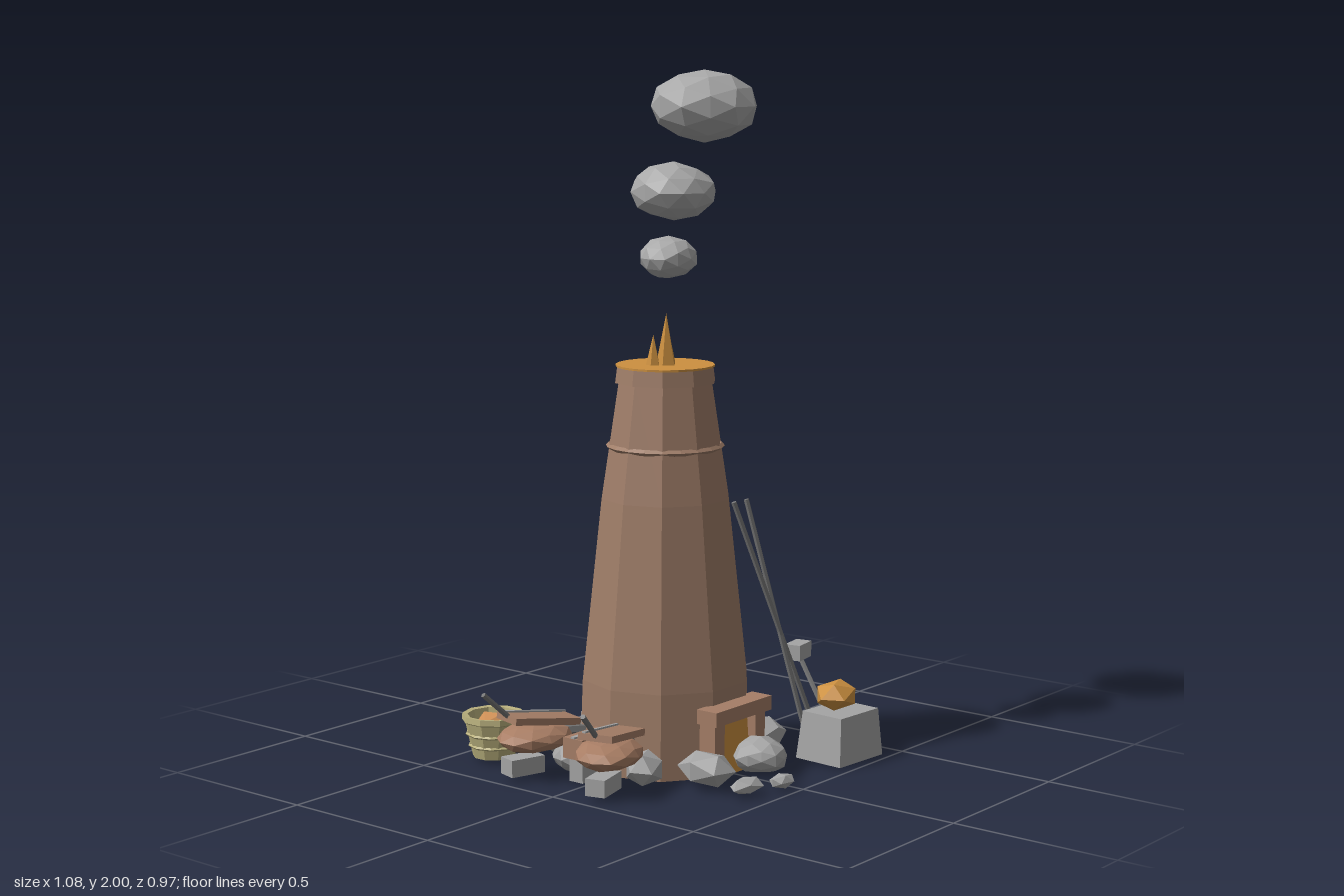
import * as THREE from 'three';

const mat = (name, color, extra = {}) => {
  const m = new THREE.MeshStandardMaterial({ color, flatShading: true, ...extra });
  m.name = name;
  return m;
};

export function createModel() {
  const clay = mat('clay', 0x9f7d68);
  const wood = mat('wood', 0xa57e67);
  const ore = mat('ore', 0xa87d64);
  const glow = mat('glow', 0xcc9040);
  const stone = mat('stone', 0xa4a4a4);
  const smokeGrey = mat('smoke', 0xa8a8a8);
  const iron = mat('iron', 0x747474);
  const straw = mat('straw', 0xbab17e, { side: THREE.DoubleSide });
  const roasted = mat('roasted ore', 0xcd8f55);

  const root = new THREE.Group();
  const add = (name, geo, material, pos = [0, 0, 0], parent = root) => {
    const m = new THREE.Mesh(geo, material);
    m.name = name;
    m.position.set(...pos);
    parent.add(m);
    return m;
  };
  const box = (name, size, pos, material, parent) =>
    add(name, new THREE.BoxGeometry(...size), material, pos, parent);

  // Faceted lump; each corner is pushed in or out by a hash of its position
  const lump = (name, pos, radii, material, { detail = 0, rough = 0.12, seed = 0, parent = root } = {}) => {
    const geo = new THREE.IcosahedronGeometry(1, detail);
    const p = geo.attributes.position;
    for (let i = 0; i < p.count; i++) {
      const v = new THREE.Vector3().fromBufferAttribute(p, i);
      const h = Math.sin(Math.round(v.x * 50) * 1.7 + Math.round(v.y * 50) * 2.3 + Math.round(v.z * 50) * 3.1 + seed * 5.3);
      v.multiplyScalar(1 + rough * h);
      p.setXYZ(i, v.x, v.y, v.z);
    }
    geo.rotateY(seed * 0.9);
    geo.scale(...radii);
    geo.computeVertexNormals();
    return add(name, geo, material, pos, parent);
  };

  // Straight rod between two points
  const rod = (name, from, to, radius, material, parent = root) => {
    const a = new THREE.Vector3(...from), b = new THREE.Vector3(...to);
    const m = add(name, new THREE.CylinderGeometry(radius, radius, a.distanceTo(b), 6), material, [0, 0, 0], parent);
    m.position.copy(a).add(b).multiplyScalar(0.5);
    m.quaternion.setFromUnitVectors(new THREE.Vector3(0, 1, 0), b.clone().sub(a).normalize());
    return m;
  };

  // Ten-sided furnace stack with band and collar
  const ring = Math.PI / 10;
  const profile = [[0, 0], [0.257, 0], [0.248, 0.25], [0.19, 0.78], [0.138, 1.12]].map(p => new THREE.Vector2(...p));
  add('furnaceStack', new THREE.LatheGeometry(profile, 10, ring), clay);
  add('stackBand', new THREE.TorusGeometry(0.163, 0.009, 4, 20).rotateX(Math.PI / 2), clay, [0, 0.93, 0]);
  add('stackCollar', new THREE.CylinderGeometry(0.143, 0.149, 0.045, 10, 1, false, ring), clay, [0, 1.137, 0]);
  add('glowingMouth', new THREE.CylinderGeometry(0.143, 0.143, 0.006, 20), glow, [0, 1.162, 0]);

  // Flames
  for (const [x, z, r, h] of [[-0.008, 0.01, 0.03, 0.15], [-0.036, -0.015, 0.022, 0.09], [0.033, -0.015, 0.024, 0.1]])
    add('flame', new THREE.ConeGeometry(r, h, 5), glow, [x, 1.162 + h / 2, z]);

  // Smoke puffs
  [[0.015, 1.47, 0, 0.085, 0.061], [0.073, 1.655, -0.028, 0.124, 0.084], [0.237, 1.895, -0.045, 0.157, 0.105]]
    .forEach(([x, y, z, r, ry], i) =>
      lump('smokePuff', [x, y, z], [r, ry, r], smokeGrey, { detail: 1, rough: 0.03, seed: i }));

  // Hearth opening
  box('hearthLintel', [0.26, 0.042, 0.07], [-0.006, 0.189, 0.26], wood);
  for (const s of [-1, 1]) box('hearthPost', [0.045, 0.17, 0.055], [-0.006 + s * 0.095, 0.085, 0.253], wood);
  const opening = new THREE.Shape([[-0.085, 0], [0.072, 0], [0.055, 0.168], [-0.067, 0.168]].map(p => new THREE.Vector2(...p)));
  add('hearthGlow', new THREE.ExtrudeGeometry(opening, { depth: 0.008, bevelEnabled: false }), glow, [0, 0, 0.25]);

  // Stones around the foot: x, z, radius x, radius z
  [[-0.14, -0.265, 0.085, 0.075], [0.05, -0.285, 0.07, 0.075], [0.22, -0.19, 0.075, 0.06],
    [-0.28, -0.1, 0.075, 0.07], [-0.27, 0.145, 0.065, 0.06], [-0.16, 0.28, 0.07, 0.09],
    [0.045, 0.315, 0.08, 0.08], [0.24, 0.175, 0.075, 0.075], [0.25, 0.01, 0.065, 0.065]]
    .forEach(([x, z, rx, rz], i) =>
      lump('footStone', [x, 0.053, z], [rx, 0.053, rz], stone, { detail: i % 3 ? 0 : 1, rough: 0.07, seed: i }));
  lump('slagStone', [-0.145, 0.022, 0.41], [0.06, 0.024, 0.04], stone, { seed: 3 });
  lump('slagStone', [-0.033, 0.02, 0.45], [0.048, 0.022, 0.032], stone, { seed: 5 });

  // Ore heap
  [[0.225, 0.037, -0.405], [0.385, 0.037, -0.405], [0.375, 0.037, -0.265], [0.225, 0.037, -0.27], [0.3, 0.065, -0.335]]
    .forEach(([x, y, z], i) =>
      lump('oreLump', [x, y, z], [0.07, 0.04, 0.068], ore, { rough: 0.1, seed: i + 1 }));

  // Basket of roasted ore
  const basket = new THREE.Group();
  basket.name = 'basket';
  basket.position.set(-0.313, 0, -0.395);
  root.add(basket);
  const wall = [[0, 0.005], [0.062, 0.005], [0.085, 0.11], [0.094, 0.115], [0.092, 0.132], [0.077, 0.13], [0.06, 0.03]];
  add('basketWall', new THREE.LatheGeometry(wall.map(p => new THREE.Vector2(...p)), 10), straw, [0, 0, 0], basket);
  for (const [y, r] of [[0.04, 0.071], [0.075, 0.079]])
    add('basketWeave', new THREE.TorusGeometry(r, 0.005, 4, 10).rotateX(Math.PI / 2), straw, [0, y, 0], basket);
  lump('basketOre', [0, 0.09, 0], [0.06, 0.05, 0.06], roasted, { seed: 2, rough: 0.06, parent: basket });

  // Stone block with a hot bloom on it
  const block = new THREE.BoxGeometry(0.2, 0.14, 0.165);
  const bp = block.attributes.position;
  for (let i = 0; i < bp.count; i++)
    if (bp.getY(i) > 0) bp.setXYZ(i, bp.getX(i) * 0.87 + 0.004, 0.07, bp.getZ(i) * 0.87);
  block.computeVertexNormals();
  add('anvilBlock', block, stone, [0.332, 0.07, 0.39]).rotation.y = -0.06;
  lump('hotBloom', [0.325, 0.184, 0.385], [0.077, 0.046, 0.063], glow, { seed: 4, rough: 0.06 });

  // Iron bars leaning on the stack
  rod('leaningBar', [0.37, 0.005, 0.297], [0.13, 0.76, 0.15], 0.008, iron);
  rod('leaningBar', [0.315, 0.005, 0.295], [0.19, 0.76, 0.15], 0.008, iron);

  // Hammer
  rod('hammerHandle', [0.452, 0.008, 0.298], [0.492, 0.235, 0.125], 0.008, iron);
  box('hammerHead', [0.08, 0.048, 0.05], [0.495, 0.247, 0.12], stone).rotation.y = 0.18;

  // Pair of bellows angled toward the stack
  for (const [z, turn] of [[-0.18, -0.28], [0.095, 0.26]]) {
    const bellows = new THREE.Group();
    bellows.name = 'bellows';
    bellows.position.set(-0.36, 0, z);
    bellows.rotation.y = turn;
    root.add(bellows);
    lump('bellowsBag', [-0.01, 0.11, 0], [0.115, 0.042, 0.095], ore, { detail: 1, rough: 0.04, parent: bellows });
    const lid = new THREE.Group();
    lid.name = 'bellowsLid';
    lid.position.set(0.005, 0.163, 0);
    lid.rotation.z = -0.14;
    bellows.add(lid);
    box('lidBoard', [0.22, 0.02, 0.105], [0, 0, 0], wood, lid);
    box('lidStrip', [0.22, 0.006, 0.01], [0, 0.012, -0.035], stone, lid);
    rod('bellowsHandle', [-0.09, 0.175, 0], [-0.18, 0.258, 0], 0.008, iron, bellows);
    rod('bellowsNozzle', [0.09, 0.11, 0], [0.19, 0.1, 0], 0.018, iron, bellows);
    box('bellowsFoot', [0.11, 0.05, 0.06], [-0.05, 0.035, 0], stone, bellows);
  }

  // Air pipe between the bellows
  box('airPipe', [0.18, 0.06, 0.07], [-0.285, 0.1, -0.035], wood);
  box('airPipeStrip', [0.18, 0.006, 0.014], [-0.285, 0.132, -0.035], stone);
  box('airPipeRest', [0.1, 0.07, 0.05], [-0.31, 0.035, -0.035], stone);

  return root;
}
